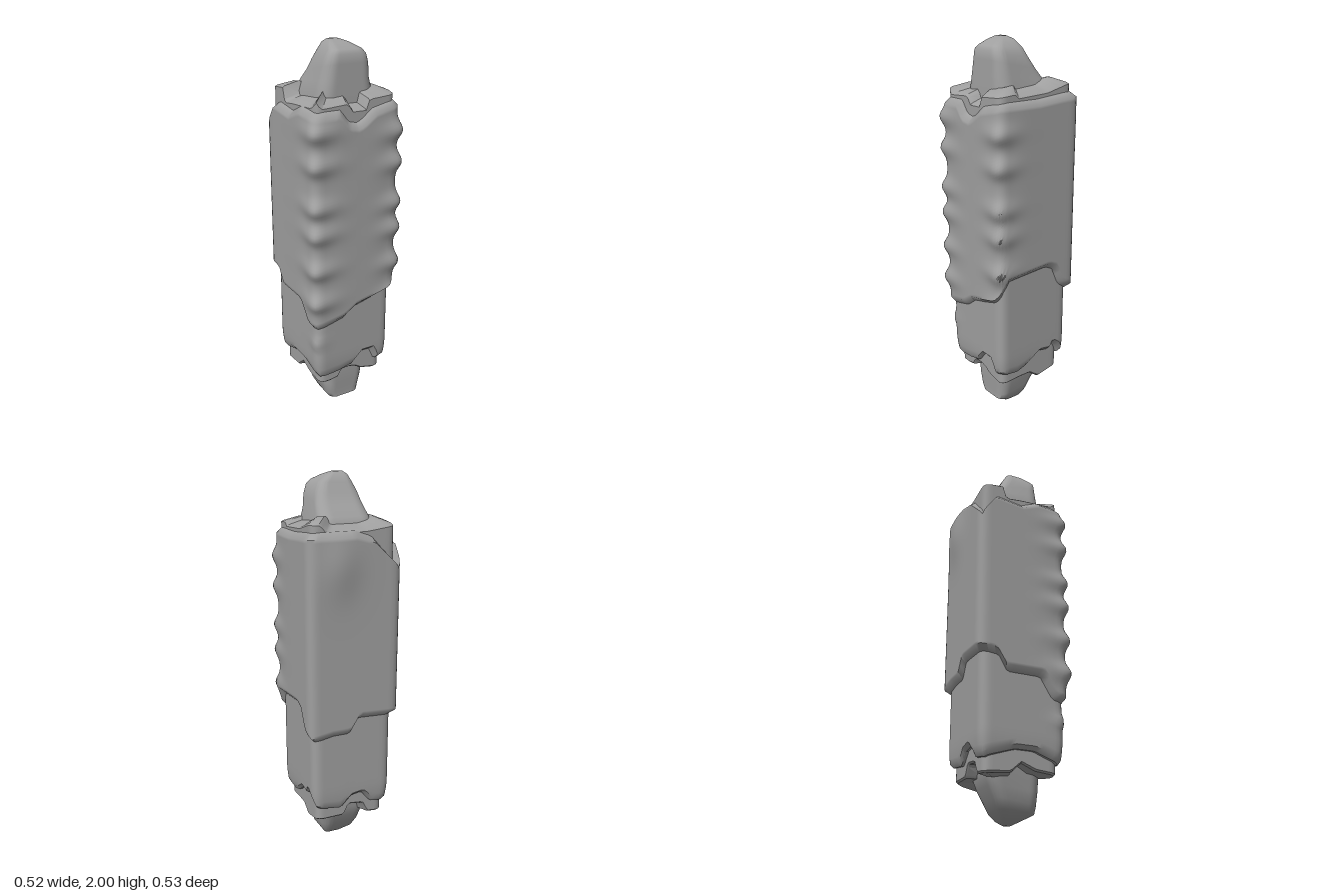
import * as THREE from 'three';
import { toCreasedNormals } from 'three/addons/utils/BufferGeometryUtils.js';

const SEGMENTS = 96;
const stone = new THREE.MeshStandardMaterial({ color: 0xa0a0a0 });
const clamp = THREE.MathUtils.clamp;

// Linear lookup in a list of [position, value] pairs
function along(keys, s) {
  for (let i = 1; i < keys.length; i++) {
    const [a, va] = keys[i - 1], [b, vb] = keys[i];
    if (s <= b) return va + (vb - va) * (s - a) / (b - a);
  }
  return keys[keys.length - 1][1];
}

// Smooth hill of height 1 around 0
const hill = (d, width) => Math.exp(-((d / width) ** 2));

// Point on a rounded square; s runs 0..8 from the front centre through +x, back and -x.
// Odd values of s are the corners.
function roundedSquare(s, half, radius) {
  const side = Math.floor(((s + 1) % 8) / 2);
  const t = ((s + 1) % 2) - 1;
  const [px, pz] = [[t, 1], [1, -t], [-t, -1], [-1, t]][side];
  const inner = half - radius;
  const ix = clamp(px * half, -inner, inner), iz = clamp(pz * half, -inner, inner);
  const dx = px * half - ix, dz = pz * half - iz;
  const k = radius / (Math.hypot(dx, dz) || 1);
  return [ix + dx * k, iz + dz * k];
}

// Skin over rings given bottom to top, closed with a fan at each end
function loft(name, rows, point, crease) {
  const positions = [], index = [];
  const ends = [new THREE.Vector3(), new THREE.Vector3()];
  for (let i = 0; i < rows; i++) {
    for (let j = 0; j < SEGMENTS; j++) {
      const p = point(i, j * 8 / SEGMENTS);
      positions.push(...p);
      if (i === 0) ends[0].add(new THREE.Vector3(...p));
      if (i === rows - 1) ends[1].add(new THREE.Vector3(...p));
    }
  }
  ends.forEach(e => positions.push(...e.divideScalar(SEGMENTS).toArray()));
  const count = rows * SEGMENTS;
  for (let j = 0; j < SEGMENTS; j++) {
    const k = (j + 1) % SEGMENTS;
    for (let i = 0; i < rows - 1; i++) {
      const a = i * SEGMENTS + j, b = i * SEGMENTS + k;
      index.push(a, b, b + SEGMENTS, a, b + SEGMENTS, a + SEGMENTS);
    }
    const top = (rows - 1) * SEGMENTS;
    index.push(count, k, j, count + 1, top + j, top + k);
  }
  const geometry = new THREE.BufferGeometry();
  geometry.setAttribute('position', new THREE.Float32BufferAttribute(positions, 3));
  geometry.setIndex(index);
  const mesh = new THREE.Mesh(toCreasedNormals(geometry, crease), stone);
  mesh.name = name;
  return mesh;
}

// Square layer with ragged rims, bevels and an optional surface displacement
function layer(name, { half, radius, bottom, top, bevel, inner, slope = 0, rows = 2, crease = 0.6, dent }) {
  const total = rows + 5;
  return loft(name, total, (i, s) => {
    const lo = along(bottom, s), hi = along(top, s);
    let h = half, y;
    if (i === 0) { h = inner; y = lo; }
    else if (i === 1) { h = half - bevel; y = lo; }
    else if (i === total - 1) { h = inner; y = hi + slope; }
    else if (i === total - 2) { h = half - bevel; y = hi; }
    else y = THREE.MathUtils.lerp(lo + bevel, hi - bevel, (i - 2) / rows);
    let [x, z] = roundedSquare(s, h, Math.min(radius, h * 0.4));
    if (dent && i > 1 && i < total - 2) [x, z] = dent(x, y, z, s);
    return [x, y, z];
  }, crease);
}

// Broken end: each row is [y, xMin, xMax, zMin, zMax, frontTilt]
function brokenEnd(name, table) {
  return loft(name, table.length, (i, s) => {
    const [y, x0, x1, z0, z1, tilt] = table[i];
    const [u, v] = roundedSquare(s, 1, 0.45);
    return [(x0 + x1) / 2 + u * (x1 - x0) / 2, y + tilt * v, (z0 + z1) / 2 + v * (z1 - z0) / 2];
  }, 0.9);
}

export function createModel() {
  const group = new THREE.Group();
  group.name = 'brokenPillar';

  // Worn front corners: rows of chipped scallops, plus a swelling high on the back
  const scallops = [1.57, 1.41, 1.2, 1.06, 0.87, 0.69];
  const wornBody = (x, y, z, s) => {
    const shift = x < 0 ? 0.03 : 0;
    const corner = hill(s - 1, 0.42) + hill(s - 7, 0.48);
    const chip = scallops.reduce((sum, c) => sum + hill(y - c - shift, 0.045), 0);
    const push = corner * (0.026 * Math.min(chip, 1) - 0.01);
    const swell = 0.02 * hill(s - 3.65, 0.4) * hill(y - 1.58, 0.15);
    return [x + Math.sign(x) * push * 0.8, z + (z > 0 ? push : 0) - swell];
  };

  // Main outer shell
  group.add(layer('outerShell', {
    half: 0.25, radius: 0.045, bevel: 0.03, inner: 0.14, rows: 64, crease: 0.9, dent: wornBody,
    bottom: [[0, 0.65], [0.35, 0.67], [0.8, 0.7], [1, 0.74], [1.25, 0.82], [2.3, 0.84], [2.5, 0.82],
      [2.7, 0.72], [3, 0.68], [3.5, 0.7], [3.9, 0.7], [4.1, 0.78], [5, 0.77], [5.4, 0.76], [5.6, 0.68],
      [6.4, 0.68], [6.7, 0.57], [7, 0.56], [7.7, 0.6], [8, 0.65]],
    top: [[0, 1.63], [0.12, 1.64], [0.4, 1.69], [1, 1.72], [2, 1.72], [3, 1.74], [4, 1.74], [4.4, 1.71],
      [5, 1.57], [5.35, 1.69], [6, 1.67], [6.4, 1.71], [7, 1.7], [7.6, 1.7], [7.8, 1.64], [8, 1.63]],
  }));

  // Inner shell showing below the outer one
  const wornLower = (x, y, z, s) => {
    const low = 1 - clamp((y - 0.27) / 0.12, 0, 1);
    const k = 1 - 0.05 * low * low;
    const chip = 0.014 * hill(s - 7, 0.3) * hill(y - 0.47, 0.03);
    return [x * k - chip, z * k + chip * 0.5];
  };
  group.add(layer('innerShell', {
    half: 0.222, radius: 0.045, bevel: 0.02, inner: 0.12, rows: 24, dent: wornLower,
    bottom: [[0, 0.29], [0.25, 0.35], [0.6, 0.35], [0.75, 0.28], [1, 0.28], [1.5, 0.27], [1.8, 0.29],
      [2.2, 0.35], [2.5, 0.34], [2.6, 0.38], [2.8, 0.35], [3, 0.29], [3.7, 0.27], [4, 0.33], [4.3, 0.34],
      [4.6, 0.27], [5, 0.26], [5.8, 0.31], [6.3, 0.31], [7, 0.26], [7.6, 0.27], [8, 0.29]],
    top: [[0, 1], [8, 1]],
  }));

  // Notched collar at the top
  group.add(layer('upperCollar', {
    half: 0.22, radius: 0.035, bevel: 0.008, inner: 0.15, slope: 0.025,
    bottom: [[0, 1.5], [8, 1.5]],
    top: [[0, 1.69], [0.25, 1.69], [0.34, 1.74], [0.9, 1.75], [1.4, 1.76], [1.5, 1.74], [2.3, 1.75],
      [2.85, 1.78], [3.2, 1.78], [3.35, 1.74], [4.3, 1.74], [5, 1.76], [5.5, 1.77], [5.6, 1.7],
      [6, 1.71], [6.8, 1.72], [7, 1.75], [7.15, 1.72], [7.8, 1.73], [7.9, 1.69], [8, 1.69]],
  }));

  // Notched collar at the bottom
  group.add(layer('lowerCollar', {
    half: 0.19, radius: 0.035, bevel: 0.008, inner: 0.12,
    bottom: [[0, 0.26], [0.2, 0.25], [0.35, 0.23], [0.8, 0.21], [1, 0.21], [1.6, 0.22], [2, 0.22],
      [2.3, 0.18], [2.8, 0.2], [3, 0.21], [3.8, 0.21], [3.95, 0.27], [4.4, 0.26], [4.55, 0.2],
      [5, 0.19], [5.7, 0.2], [6, 0.25], [6.4, 0.22], [7, 0.21], [7.35, 0.21], [7.6, 0.22], [7.7, 0.26], [8, 0.26]],
    top: [[0, 0.45], [8, 0.45]],
  }));

  // Core stumps sticking out of both ends
  group.add(brokenEnd('upperCore', [
    [1.6, -0.155, 0.16, -0.16, 0.16, 0],
    [1.75, -0.152, 0.155, -0.158, 0.16, 0],
    [1.81, -0.134, 0.135, -0.135, 0.157, 0.015],
    [1.87, -0.118, 0.128, -0.09, 0.155, 0.025],
    [1.92, -0.105, 0.112, -0.055, 0.154, 0.02],
    [1.955, -0.085, 0.09, -0.03, 0.14, 0.005],
    [1.985, -0.065, 0.045, -0.01, 0.09, 0],
    [2.0, -0.045, 0.005, 0.015, 0.05, 0],
  ]));
  group.add(brokenEnd('lowerCore', [
    [0, 0.02, 0.05, 0.01, 0.045, 0],
    [0.02, -0.025, 0.075, -0.025, 0.085, 0],
    [0.05, -0.085, 0.095, -0.06, 0.13, -0.005],
    [0.09, -0.108, 0.105, -0.085, 0.13, -0.015],
    [0.15, -0.115, 0.118, -0.115, 0.138, -0.012],
    [0.22, -0.13, 0.132, -0.135, 0.14, 0],
    [0.4, -0.14, 0.14, -0.14, 0.14, 0],
  ]));

  return group;
}
